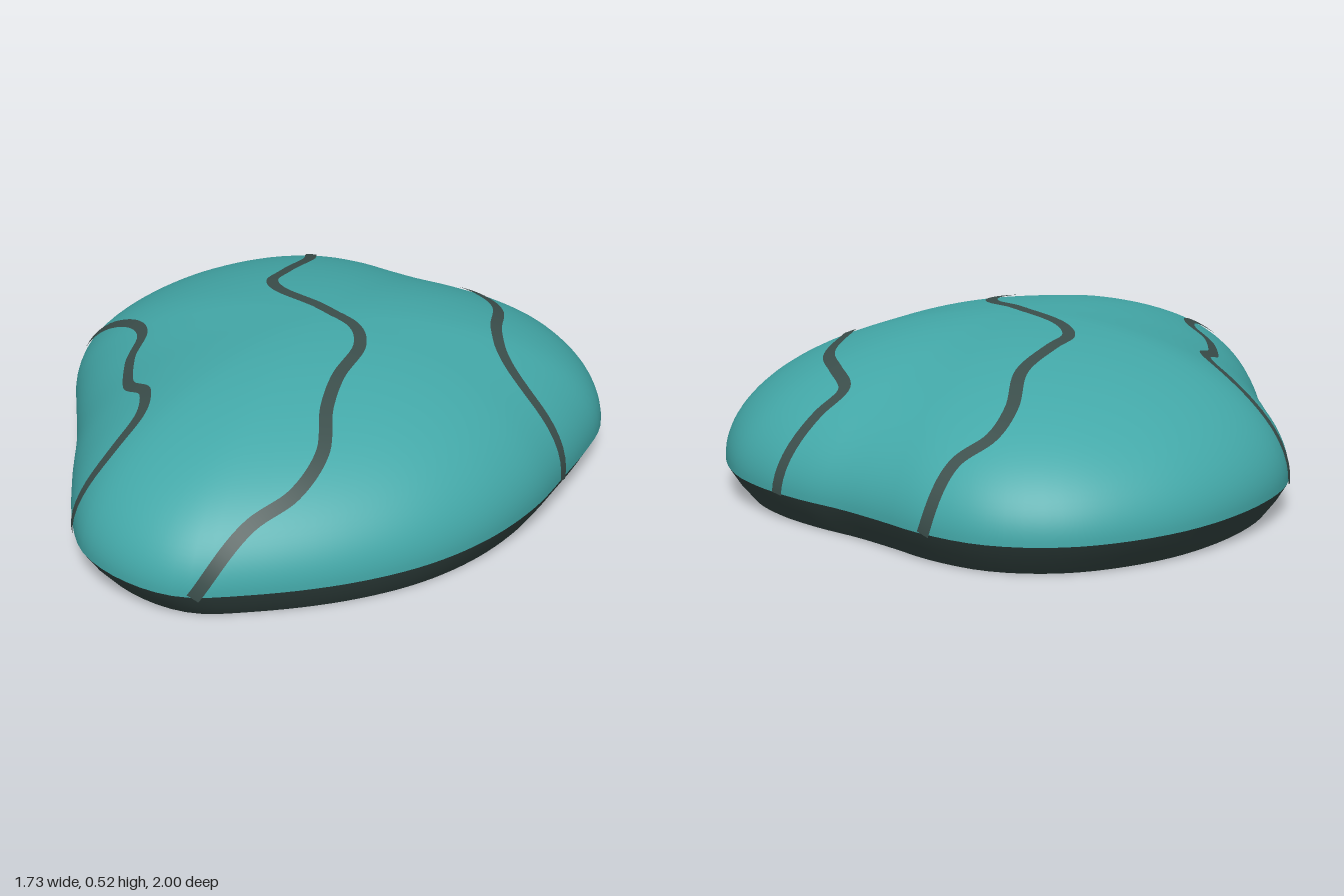
import * as THREE from 'three';
import { mergeVertices } from 'three/addons/utils/BufferGeometryUtils.js';

const RIM = 0.1;    // height of the seam between shell and underside
const RISE = 0.41;  // height of the dome above the seam

// Plan outline as x, z pairs
const OUTLINE = [
  [-0.18, -1], [0, -0.96], [0.13, -0.9], [0.27, -0.84], [0.42, -0.79], [0.57, -0.72],
  [0.7, -0.62], [0.8, -0.47], [0.85, -0.32], [0.86, -0.2], [0.83, -0.05], [0.78, 0.12],
  [0.71, 0.33], [0.6, 0.53], [0.45, 0.7], [0.25, 0.84], [0, 0.95], [-0.18, 0.995],
  [-0.35, 0.95], [-0.5, 0.84], [-0.58, 0.7], [-0.65, 0.5], [-0.72, 0.25], [-0.8, 0.02],
  [-0.85, -0.13], [-0.865, -0.28], [-0.81, -0.5], [-0.68, -0.73], [-0.5, -0.9], [-0.35, -0.975],
];

// Cracks in plan, each running from rim to rim
const CRACKS = {
  middleCrack: [
    [-0.015, -0.97], [-0.08, -0.89], [-0.16, -0.82], [-0.18, -0.71], [-0.155, -0.53], [-0.19, -0.35],
    [-0.21, -0.25], [-0.165, -0.16], [0, -0.03], [0.12, 0.07], [0.155, 0.175], [0.125, 0.34],
    [0.12, 0.48], [0.14, 0.635], [0.09, 0.77], [-0.01, 0.87], [-0.14, 0.99],
  ],
  leftCrack: [
    [0.5, -0.76], [0.41, -0.66], [0.36, -0.58], [0.43, -0.475], [0.5, -0.355],
    [0.52, -0.16], [0.56, -0.03], [0.64, 0.065], [0.77, 0.15],
  ],
  rightCrack: [
    [-0.865, -0.25], [-0.72, -0.15], [-0.605, -0.05], [-0.56, 0.03], [-0.56, 0.16],
    [-0.515, 0.32], [-0.435, 0.41], [-0.415, 0.51], [-0.46, 0.635], [-0.57, 0.73],
  ],
};

// Outline radius for any angle, from a finely sampled closed spline
const samples = new THREE.CatmullRomCurve3(
  OUTLINE.map(([x, z]) => new THREE.Vector3(x, 0, z)), true
).getPoints(600).map((p) => ({ a: Math.atan2(p.x, p.z), r: Math.hypot(p.x, p.z) }))
  .sort((p, q) => p.a - q.a);

function radiusAt(x, z) {
  const a = Math.atan2(x, z);
  let i = samples.findIndex((s) => s.a >= a);
  if (i < 1) i = samples.length;
  const p = samples[i - 1], q = samples[i % samples.length];
  const span = (q.a - p.a + 2 * Math.PI) % (2 * Math.PI);
  const t = span > 1e-6 ? ((a - p.a + 2 * Math.PI) % (2 * Math.PI)) / span : 0;
  return p.r + (q.r - p.r) * Math.min(t, 1);
}

// Point and normal on the dome for a unit direction
function domePoint(d) {
  const r = radiusAt(d.x, d.z);
  return new THREE.Vector3(d.x * r, RIM + RISE * d.y, d.z * r);
}

function domeNormal(d) {
  const helper = Math.abs(d.y) > 0.9 ? new THREE.Vector3(1, 0, 0) : new THREE.Vector3(0, 1, 0);
  const u = helper.cross(d).normalize();
  const v = d.clone().cross(u);
  const along = (w) => domePoint(d.clone().addScaledVector(w, 0.02).normalize())
    .sub(domePoint(d.clone().addScaledVector(w, -0.02).normalize()));
  return along(u).cross(along(v)).normalize();
}

// Unit-radius lathe stretched to the outline
function outlineLathe(profile) {
  const lathe = new THREE.LatheGeometry(profile.map(([x, y]) => new THREE.Vector2(x, y)), 128);
  const pos = lathe.attributes.position;
  for (let i = 0; i < pos.count; i++) {
    const x = pos.getX(i), z = pos.getZ(i), r = radiusAt(x, z);
    pos.setXYZ(i, x * r, pos.getY(i), z * r);
  }
  lathe.deleteAttribute('uv');
  lathe.deleteAttribute('normal');
  const geometry = mergeVertices(lathe, 1e-5);
  geometry.computeVertexNormals();
  return geometry;
}

// Thin ribbon lying on the dome
function crackGeometry(points) {
  const dirs = points.map(([x, z], i) => {
    const r = radiusAt(x, z);
    const d = new THREE.Vector3(x / r, 0, z / r);
    const end = i === 0 || i === points.length - 1;
    if (!end) d.y = Math.sqrt(Math.max(0, 1 - d.lengthSq()));
    return d.normalize();
  });
  const path = new THREE.CatmullRomCurve3(dirs).getPoints(points.length * 8);
  path.forEach((d) => { d.y = Math.max(d.y, 0); d.normalize(); });
  const centre = path.map(domePoint);
  const positions = [], normals = [], index = [];
  path.forEach((d, i) => {
    const n = domeNormal(d);
    const t = centre[Math.min(i + 1, path.length - 1)].clone().sub(centre[Math.max(i - 1, 0)]);
    const side = n.clone().cross(t).normalize();
    for (const s of [1, -1]) {
      const p = centre[i].clone().addScaledVector(side, 0.019 * s).addScaledVector(n, 0.005);
      positions.push(p.x, p.y, p.z);
      normals.push(n.x, n.y, n.z);
    }
    if (i) {
      const k = 2 * i;
      index.push(k - 2, k - 1, k, k - 1, k + 1, k);
    }
  });
  const geometry = new THREE.BufferGeometry();
  geometry.setAttribute('position', new THREE.Float32BufferAttribute(positions, 3));
  geometry.setAttribute('normal', new THREE.Float32BufferAttribute(normals, 3));
  geometry.setIndex(index);
  return geometry;
}

export function createModel() {
  const model = new THREE.Group();
  model.name = 'pebble';
  const teal = new THREE.MeshStandardMaterial({ color: 0x43a8a8 });
  teal.name = 'teal stone';
  const dark = new THREE.MeshStandardMaterial({ color: 0x3b4e4b });
  dark.name = 'dark stone';

  const add = (name, geometry, material) => {
    const mesh = new THREE.Mesh(geometry, material);
    mesh.name = name;
    model.add(mesh);
  };

  // Domed upper shell
  const dome = Array.from({ length: 41 }, (_, i) => {
    const a = (i / 40) * Math.PI / 2;
    return [i === 40 ? 0 : Math.cos(a), RIM + RISE * Math.sin(a)];
  });
  add('shell', outlineLathe(dome), teal);

  // Undercut edge and flat bottom
  add('undercutEdge', outlineLathe([[0.925, 0], [0.967, 0.05], [1, RIM]]), dark);
  add('bottom', outlineLathe([[0, 0], [0.5, 0], [0.925, 0]]), dark);

  // Cracks across the shell
  for (const [name, points] of Object.entries(CRACKS)) add(name, crackGeometry(points), dark);

  return model;
}
